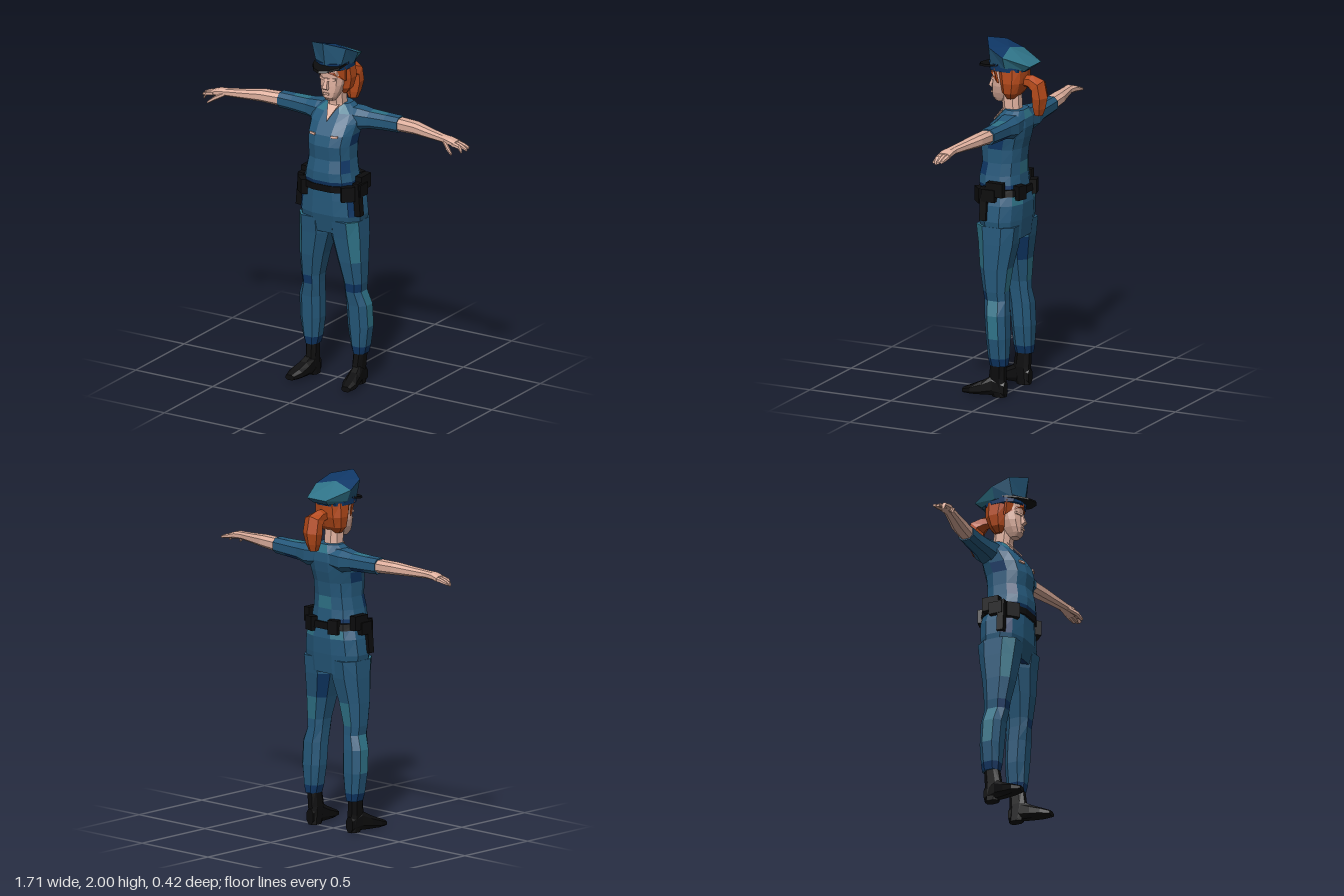
import * as THREE from 'three';

const paint = (name, color) => Object.assign(new THREE.MeshStandardMaterial({ color }), { name });
const blue = paint('uniformBlue', 0x25587a);
const teal = paint('fadedTeal', 0x2f7388);
const navy = paint('deepNavy', 0x0f3766);
const skin = paint('skin', 0xdfb09e);
const hair = paint('auburnHair', 0xb54a1a);
const black = paint('blackLeather', 0x0c0c0d);
const cloth = [blue, teal, navy];
const TEAL = 1, NAVY = 2;

// One cross-section: centre c, half-axis vectors u and v; e below 1 makes it boxier
function ring(n, c, u, v, e = 0.8) {
  const soft = t => Math.sign(t) * Math.abs(t) ** e;
  return Array.from({ length: n }, (_, j) => {
    const a = (j + 0.5) * 2 * Math.PI / n;
    const p = soft(Math.cos(a)), q = soft(Math.sin(a));
    return c.map((k, i) => k + u[i] * p + v[i] * q);
  });
}
// Sections along y: [y, centre x, half width, front z, back z]
const upright = (n, list) => list.map(([y, x, w, f, b]) =>
  ring(n, [x, y, (f + b) / 2], [w, 0, 0], [0, 0, (f - b) / 2]));
// Sections along x: [x, centre y, centre z, half height, half depth]
const sideways = (n, list) => list.map(([x, y, z, h, d]) =>
  ring(n, [x, y, z], [0, 0, d], [0, h, 0]));
// Sections along z: [z, centre x, centre y, half width, half height]
const forward = (n, list) => list.map(([z, x, y, w, h]) =>
  ring(n, [x, y, z], [w, 0, 0], [0, h, 0]));

// Closed faceted skin over rings; pick(i, j) chooses the colour of each panel
function loft(name, rings, mats, pick = () => 0, mirror = 1) {
  const list = Array.isArray(mats) ? mats : [mats];
  const buckets = list.map(() => []);
  const n = rings[0].length, last = rings.length - 1;
  const P = rings.map(r => r.map(p => new THREE.Vector3(p[0] * mirror, p[1], p[2])));
  const mid = r => r.reduce((s, p) => s.add(p), new THREE.Vector3()).divideScalar(n);
  const m0 = mid(P[0]), m1 = mid(P[last]);
  for (let j = 0; j < n; j++) {
    const k = (j + 1) % n;
    buckets[pick(-1, j)].push([m0, P[0][j], P[0][k]]);
    buckets[pick(last, j)].push([m1, P[last][k], P[last][j]]);
    for (let i = 0; i < last; i++) {
      buckets[pick(i, j)].push([P[i][j], P[i + 1][j], P[i][k]], [P[i][k], P[i + 1][j], P[i + 1][k]]);
    }
  }
  // Turn all faces outward
  let volume = 0;
  buckets.flat().forEach(([a, b, c]) => {
    volume += a.clone().sub(m0).dot(b.clone().sub(m0).cross(c.clone().sub(m0)));
  });
  const geo = new THREE.BufferGeometry();
  const pts = [];
  buckets.forEach((tris, g) => {
    geo.addGroup(pts.length, tris.length * 3, g);
    tris.forEach(([a, b, c]) => pts.push(a, ...(volume < 0 ? [c, b] : [b, c])));
  });
  geo.setFromPoints(pts);
  geo.computeVertexNormals();
  const mesh = new THREE.Mesh(geo, list.length > 1 ? list : list[0]);
  mesh.name = name;
  return mesh;
}
// Flat outline thickened by the offset d
const slab = (name, pts, d, mat, mirror) =>
  loft(name, [pts, pts.map(p => p.map((k, i) => k + d[i]))], mat, undefined, mirror);

function box(name, mat, x, y, z, w, h, d, ry = 0, rx = 0, rz = 0) {
  const m = new THREE.Mesh(new THREE.BoxGeometry(w, h, d), mat);
  m.name = name;
  m.position.set(x, y, z);
  m.rotation.set(rx, ry, rz, 'YXZ');
  return m;
}

export function createModel() {
  const model = new THREE.Group();
  model.name = 'officer';
  const add = (...m) => model.add(...m);

  // Shirt, trousers seat and belt
  add(loft('shirt', upright(12, [
    [1.15, 0, 0.155, 0.165, -0.08], [1.2, 0, 0.155, 0.18, -0.075], [1.25, 0, 0.145, 0.18, -0.07],
    [1.32, 0, 0.135, 0.165, -0.07], [1.4, 0, 0.135, 0.175, -0.08], [1.46, 0, 0.143, 0.16, -0.095],
    [1.52, 0, 0.15, 0.12, -0.105], [1.57, 0, 0.14, 0.07, -0.1], [1.615, 0, 0.075, 0.035, -0.08],
  ]), cloth, (i, j) => {
    if (i === 0 && j !== 8) return NAVY;
    if (i === 2 && (j === 0 || j === 4)) return NAVY;
    if (i === 4 && (j === 11 || j === 5)) return NAVY;
    if ((i === 7 && (j === 1 || j === 3 || j === 8)) || (i === 2 && j === 8)) return TEAL;
    return 0;
  }));
  add(loft('trouserSeat', upright(12, [
    [0.89, 0, 0.185, 0.14, -0.08], [1.0, 0, 0.2, 0.165, -0.092],
    [1.09, 0, 0.188, 0.165, -0.097], [1.17, 0, 0.162, 0.165, -0.085],
  ]), cloth, (i, j) => {
    if (i === -1 || (i >= 1 && (j === 0 || j === 4))) return NAVY;
    return i === 2 && (j === 7 || j === 9) ? TEAL : 0;
  }));
  add(loft('belt', upright(12, [
    [1.14, 0, 0.178, 0.176, -0.098], [1.178, 0, 0.172, 0.178, -0.093],
  ]), black));

  // Open collar
  add(slab('collarOpening', [[-0.036, 1.612, 0.043], [0, 1.53, 0.117], [0.036, 1.612, 0.043]],
    [0, 0.003, 0.005], skin));

  for (const s of [1, -1]) {
    // Chest pocket slits
    add(box('pocketSlit', skin, s * 0.07, 1.46, 0.153, 0.04, 0.013, 0.009, s * 0.3, -0.2));

    // Sleeve, arm and hand
    add(loft('sleeve', sideways(8, [
      [0.05, 1.54, -0.03, 0.06, 0.07], [0.13, 1.535, -0.03, 0.066, 0.075],
      [0.2, 1.539, -0.033, 0.052, 0.06], [0.3, 1.541, -0.035, 0.048, 0.052],
      [0.387, 1.543, -0.033, 0.046, 0.049],
    ]), cloth, (i, j) => (i === 2 && j === 1 ? TEAL : i === 2 && j === 4 ? NAVY : 0), s));
    add(loft('arm', sideways(8, [
      [0.37, 1.543, -0.033, 0.039, 0.043], [0.5, 1.546, -0.022, 0.034, 0.044],
      [0.6, 1.541, 0, 0.027, 0.036], [0.7, 1.537, 0.02, 0.021, 0.03],
      [0.75, 1.534, 0.026, 0.021, 0.037], [0.79, 1.525, 0.026, 0.017, 0.038],
    ]), skin, undefined, s));
    [[0.005, 0.855, 1.508], [0.028, 0.856, 1.502], [0.05, 0.835, 1.492]].forEach(([z, x, y]) =>
      add(loft('finger', sideways(6, [
        [0.775, 1.526, z, 0.014, 0.016], [0.82, 1.518, z + 0.002, 0.012, 0.014], [x, y, z + 0.004, 0.008, 0.01],
      ]), skin, undefined, s)));
    add(loft('thumb', sideways(6, [
      [0.71, 1.53, 0.035, 0.013, 0.016], [0.755, 1.508, 0.072, 0.013, 0.015], [0.79, 1.483, 0.088, 0.008, 0.01],
    ]), skin, undefined, s));

    // Trouser leg
    add(loft('trouserLeg', upright(8, [
      [0.18, 0.155, 0.04, 0.06, -0.043], [0.225, 0.155, 0.053, 0.068, -0.047],
      [0.34, 0.155, 0.07, 0.077, -0.052], [0.47, 0.152, 0.07, 0.088, -0.047],
      [0.55, 0.136, 0.057, 0.1, -0.038], [0.6, 0.137, 0.063, 0.106, -0.036],
      [0.73, 0.123, 0.081, 0.13, -0.05], [0.87, 0.102, 0.1, 0.147, -0.076],
      [0.97, 0.1, 0.098, 0.162, -0.088],
    ]), cloth, (i, j) => {
      if (i === 0 || (i === 4 && j < 2) || (i === 6 && j === 4)) return NAVY;
      if ((i >= 6 && j === 0) || ((i === 2 || i === 3) && j === 7) || (i === 5 && j === 5)) return TEAL;
      return 0;
    }, s));

    // Boot
    add(loft('bootShaft', upright(8, [
      [0, 0.148, 0.03, 0.05, -0.032], [0.1, 0.15, 0.033, 0.07, -0.03], [0.2, 0.155, 0.035, 0.055, -0.032],
    ]), black, undefined, s));
    add(loft('bootFoot', forward(8, [
      [-0.03, 0.15, 0.045, 0.026, 0.045], [0.04, 0.153, 0.065, 0.034, 0.06],
      [0.1, 0.163, 0.047, 0.042, 0.042], [0.16, 0.174, 0.034, 0.045, 0.028], [0.21, 0.182, 0.025, 0.028, 0.016],
    ]), black, undefined, s));

    // Belt gear
    add(
      box('frontPouch', black, s * 0.145, 1.138, 0.132, 0.075, 0.085, 0.04, s * 0.75),
      box('holster', black, s * 0.184, 1.1, 0.085, 0.036, 0.19, 0.04, 0, 0, s * 0.08),
      box('sidePouch', black, s * 0.176, 1.185, 0.02, 0.04, 0.08, 0.1),
      box('holsterFlap', black, s * 0.187, 1.15, 0.055, 0.036, 0.07, 0.08),
      box('backPouch', black, s * 0.085, 1.16, -0.085, 0.06, 0.08, 0.04, s * -0.3),
    );

    // Hair swept to each side of the forehead
    add(slab('fringe', [[0, 1.85, 0.118], [0, 1.822, 0.118], [0.04, 1.81, 0.105],
      [0.082, 1.765, 0.045], [0.092, 1.85, 0.06]], [0, 0, 0.013], hair, s));
    // Brow and cheek
    add(slab('brow', [[0.008, 1.782, 0.115], [0.05, 1.786, 0.098], [0.05, 1.773, 0.1], [0.008, 1.769, 0.116]],
      [0, 0, 0.012], skin, s));
  }

  // Neck, head and face
  add(loft('neck', upright(8, [
    [1.56, 0, 0.056, 0.06, -0.06], [1.62, 0, 0.05, 0.056, -0.05], [1.72, 0, 0.048, 0.07, -0.045],
  ]), skin));
  add(loft('head', upright(12, [
    [1.648, 0, 0.028, 0.1, 0.045], [1.67, 0, 0.04, 0.122, 0.01], [1.7, 0, 0.054, 0.122, -0.01],
    [1.74, 0, 0.066, 0.12, -0.03], [1.78, 0, 0.07, 0.118, -0.05], [1.85, 0, 0.072, 0.12, -0.06],
  ]), skin));
  add(loft('nose', upright(4, [
    [1.718, 0, 0.018, 0.132, 0.1], [1.728, 0, 0.019, 0.15, 0.1], [1.785, 0, 0.009, 0.126, 0.1],
  ]), skin));
  add(box('lips', skin, 0, 1.694, 0.12, 0.034, 0.012, 0.014));

  // Hair and ponytail
  add(loft('hair', upright(10, [
    [1.675, 0, 0.06, 0.025, -0.03], [1.71, 0, 0.088, 0.048, -0.06], [1.77, 0, 0.1, 0.06, -0.083],
    [1.85, 0, 0.095, 0.08, -0.09],
  ]), hair));
  const tail = [[1.775, -0.06, 0.028, 0.03, 0], [1.775, -0.11, 0.04, 0.04, 0.2], [1.755, -0.155, 0.058, 0.05, 0.8],
    [1.69, -0.165, 0.06, 0.047, 1.5], [1.63, -0.16, 0.045, 0.038, 1.6], [1.59, -0.157, 0.028, 0.025, 1.6]];
  add(loft('ponytail', tail.map(([y, z, w, t, a]) =>
    ring(6, [0, y, z], [w, 0, 0], [0, t * Math.cos(a), -t * Math.sin(a)], 1)), hair));

  // Cap: band, peak, flared crown and two-tone top
  add(loft('capBand', upright(12, [
    [1.835, 0, 0.098, 0.132, -0.093], [1.875, 0, 0.102, 0.136, -0.098],
  ]), navy));
  add(slab('capPeak', [[0.1, 1.865, 0.05], [0.085, 1.85, 0.13], [0.045, 1.842, 0.185], [0, 1.838, 0.208],
    [-0.045, 1.842, 0.185], [-0.085, 1.85, 0.13], [-0.1, 1.865, 0.05]], [0, 0.012, -0.006], black));
  const wrap = half => [...half, ...half.slice(1).reverse().map(([x, y, z]) => [-x, y, z])];
  const foot = wrap([[0, 1.865, 0.138], [0.082, 1.865, 0.1], [0.104, 1.858, 0], [0.058, 1.845, -0.1]]);
  const rim = wrap([[0, 2, 0.16], [0.112, 1.97, 0.095], [0.132, 1.925, 0], [0.07, 1.875, -0.137]]);
  add(loft('capCrown', [foot, rim], cloth, (i, j) => (i === 0 && (j === 2 || j === 4) ? TEAL : 0)));
  const top = [0, 1.955, 0.02];
  const crownTop = rim.map(() => top);
  add(loft('capTop', [rim, crownTop], cloth, (i, j) => (j >= 2 && j <= 4 ? TEAL : NAVY)));
  return model;
}
